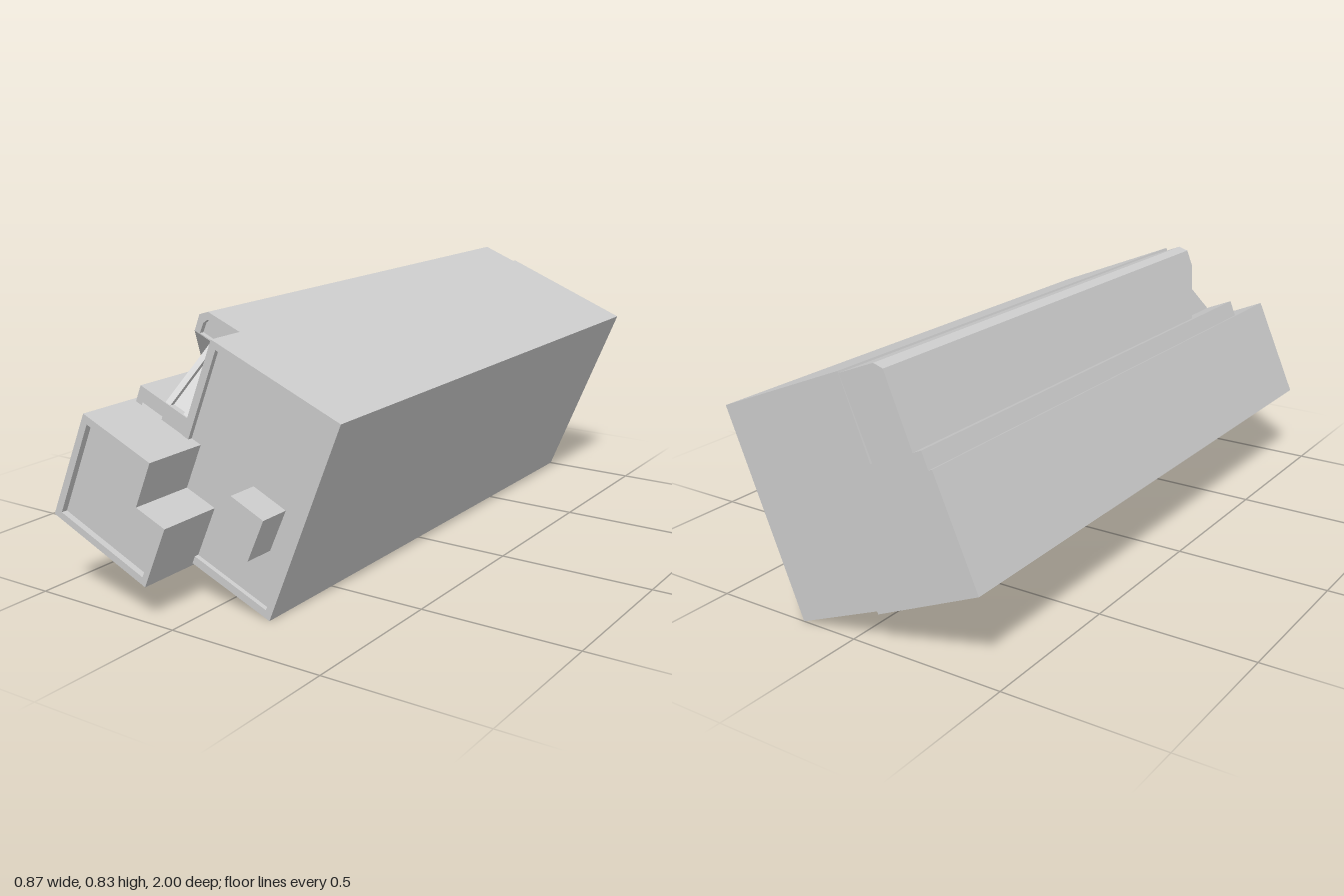
import * as THREE from 'three';

const material = new THREE.MeshStandardMaterial({ color: 0xcccccc, flatShading: true });

const toShape = (pts) => new THREE.Shape(pts.map(([x, y]) => new THREE.Vector2(x, y)));

// Extrudes an x-y outline from z0 to z1; frontZ(y along the tilt) may slant the front face
function prism(name, pts, z0, z1, { hole, frontZ } = {}) {
  const shape = toShape(pts);
  if (hole) shape.holes.push(toShape(hole));
  const geo = new THREE.ExtrudeGeometry(shape, { depth: z1 - z0, bevelEnabled: false });
  geo.translate(0, 0, z0);
  if (frontZ) {
    const p = geo.attributes.position;
    for (let i = 0; i < p.count; i++) {
      if (p.getZ(i) > z1 - 1e-4) p.setZ(i, frontZ(0.384 * p.getX(i) + 0.923 * p.getY(i)));
    }
    geo.computeVertexNormals();
  }
  const mesh = new THREE.Mesh(geo, material);
  mesh.name = name;
  return mesh;
}

// Solid prism whose front face is recessed inside a rim
function rimmedPrism(name, pts, inset, z0, z1, depth) {
  const group = new THREE.Group();
  group.name = name;
  group.add(
    prism(name + 'Body', pts, z0, z1 - depth),
    prism(name + 'Rim', pts, z1 - depth, z1, { hole: inset })
  );
  return group;
}

export function createModel() {
  const model = new THREE.Group();
  const back = -1;

  // Large tilted main housing
  model.add(rimmedPrism('mainHousing',
    [[0.187, 0], [0.435, 0.61], [0.005, 0.785], [-0.243, 0.175]],
    [[0.175, 0.03], [0.407, 0.597], [0.02, 0.757], [-0.21, 0.19]],
    back, 0.805, 0.015));

  // Stepped side housing, projecting furthest forward
  model.add(rimmedPrism('sideHousing',
    [[-0.438, 0.255], [-0.095, 0.105], [-0.013, 0.292], [-0.115, 0.335], [-0.057, 0.472], [-0.298, 0.575]],
    [[-0.408, 0.265], [-0.103, 0.133], [-0.04, 0.28], [-0.143, 0.323], [-0.087, 0.457], [-0.287, 0.545]],
    back, 1, 0.02));

  // Ledge between the two housings
  model.add(rimmedPrism('ledge',
    [[-0.265, 0.62], [-0.07, 0.538], [-0.17, 0.3], [-0.365, 0.38]],
    [[-0.252, 0.59], [-0.177, 0.56], [-0.2, 0.505], [-0.275, 0.535]],
    back, 0.803, 0.015));

  // Upper ridge ending in a hood
  model.add(rimmedPrism('hood',
    [[-0.17, 0.768], [-0.03, 0.708], [0.002, 0.78], [-0.118, 0.828], [-0.15, 0.818]],
    [[-0.15, 0.763], [-0.044, 0.718], [-0.025, 0.765], [-0.12, 0.805], [-0.137, 0.793]],
    back, 0.67, 0.015));

  // Lower ridge, its front cut back beneath the hood
  const slant = (lo, hi, zLo, zHi) => (v) =>
    THREE.MathUtils.lerp(zLo, zHi, THREE.MathUtils.clamp((v - lo) / (hi - lo), 0, 1));
  model.add(prism('ridge',
    [[-0.17, 0.768], [-0.238, 0.605], [-0.1, 0.547], [-0.03, 0.708]],
    back, 0.6, { frontZ: slant(0.468, 0.643, 0.55, 0.67) }));

  // Sloping front wedge with two raised ribs
  const wedge = (name, a, b, lift) => {
    const at = (s, base, top) => [
      THREE.MathUtils.lerp(base[0], top[0], s), THREE.MathUtils.lerp(base[1], top[1], s)];
    const bottom = (s) => at(s, [-0.175, 0.582], [-0.085, 0.545]);
    const top = (s) => at(s, [-0.11, 0.742], [-0.025, 0.706]);
    return prism(name, [bottom(a), bottom(b), top(b), top(a)], 0.5, 0.7,
      { frontZ: slant(0.469, 0.642, 0.785 + lift, 0.655 + lift) });
  };
  model.add(wedge('frontSlope', 0, 1, 0));
  model.add(wedge('slopeRib', 0, 0.2, 0.015));
  model.add(wedge('slopeRib', 0.72, 1, 0.015));

  // Small projecting block on the front panel
  model.add(prism('frontBlock',
    [[0.13, 0.383], [0.073, 0.253], [0.183, 0.205], [0.24, 0.333]], 0.78, 0.89));

  return model;
}
